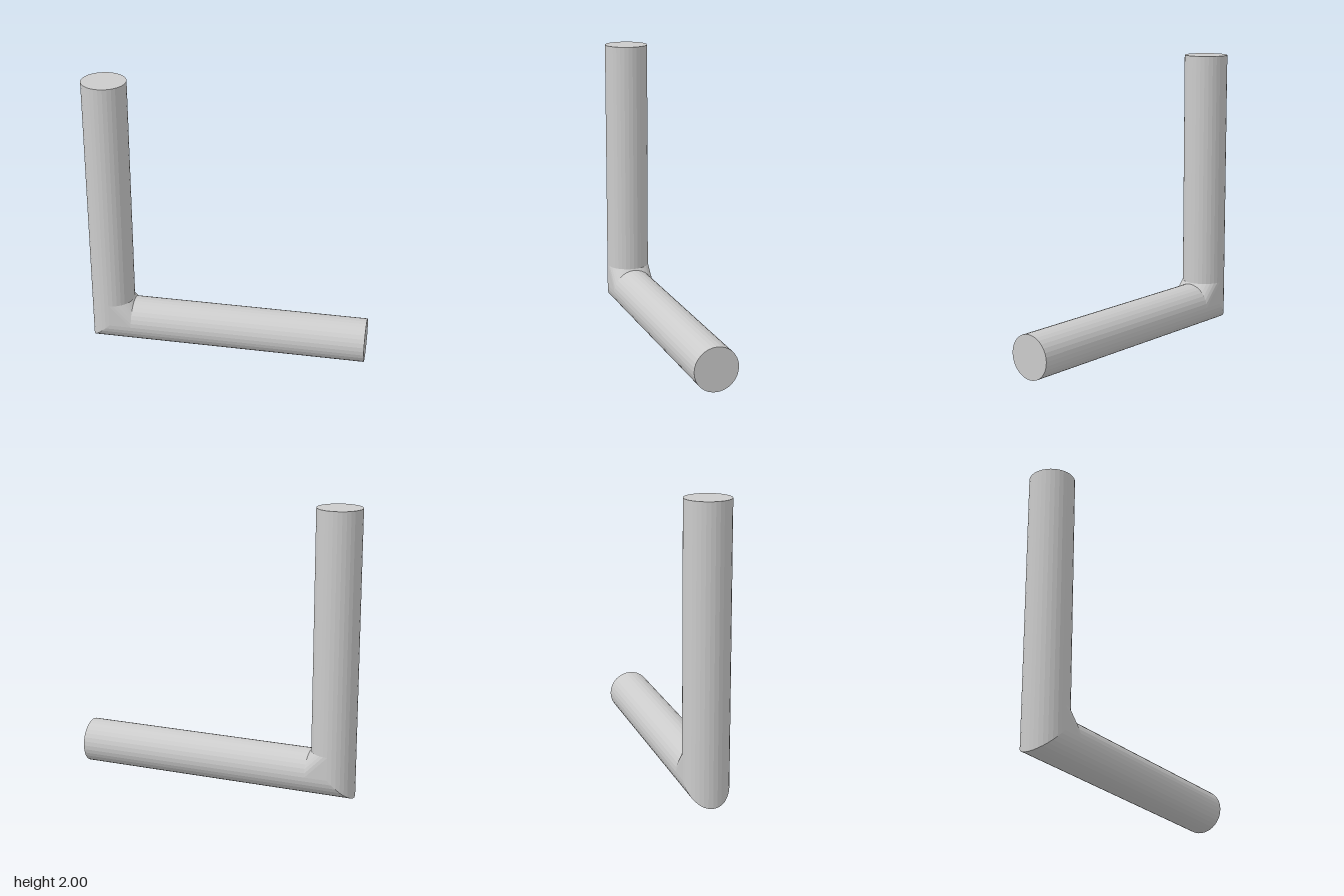
import * as THREE from 'three';
import { ConvexGeometry } from 'three/addons/geometries/ConvexGeometry.js';

const R = 0.155;          // pipe radius
const SIDES = 32;
const AXIS_X = -1 + R;    // axis of the upright pipe
const AXIS_Y = R;         // axis of the level pipe
const TOP = 0.32;         // where the upright leaves the elbow
const SIDE = -0.685;      // where the level pipe leaves the elbow

export function createModel() {
  const group = new THREE.Group();
  const material = new THREE.MeshStandardMaterial({ color: 0xcccccc, flatShading: true });

  const add = (name, geometry) => {
    const mesh = new THREE.Mesh(geometry, material);
    mesh.name = name;
    group.add(mesh);
    return mesh;
  };

  // Upright pipe
  const upright = add('uprightPipe', new THREE.CylinderGeometry(R, R, 2 - TOP, SIDES));
  upright.position.set(AXIS_X, (2 + TOP) / 2, 0);

  // Level pipe
  const level = add('levelPipe', new THREE.CylinderGeometry(R, R, 1 - SIDE, SIDES).rotateZ(-Math.PI / 2));
  level.position.set((1 + SIDE) / 2, AXIS_Y, 0);

  // Elbow: hull over both pipe ends and the mitre ellipse at the outer corner
  const points = [];
  for (let i = 0; i < SIDES; i++) {
    const a = (i / SIDES) * Math.PI * 2;
    const c = R * Math.cos(a), s = R * Math.sin(a);
    points.push(new THREE.Vector3(AXIS_X + c, TOP, s));
    points.push(new THREE.Vector3(SIDE, AXIS_Y + c, s));
    if (c < 0.001) points.push(new THREE.Vector3(AXIS_X + c, AXIS_Y + c, s));
  }
  add('mitredElbow', new ConvexGeometry(points));

  return group;
}
